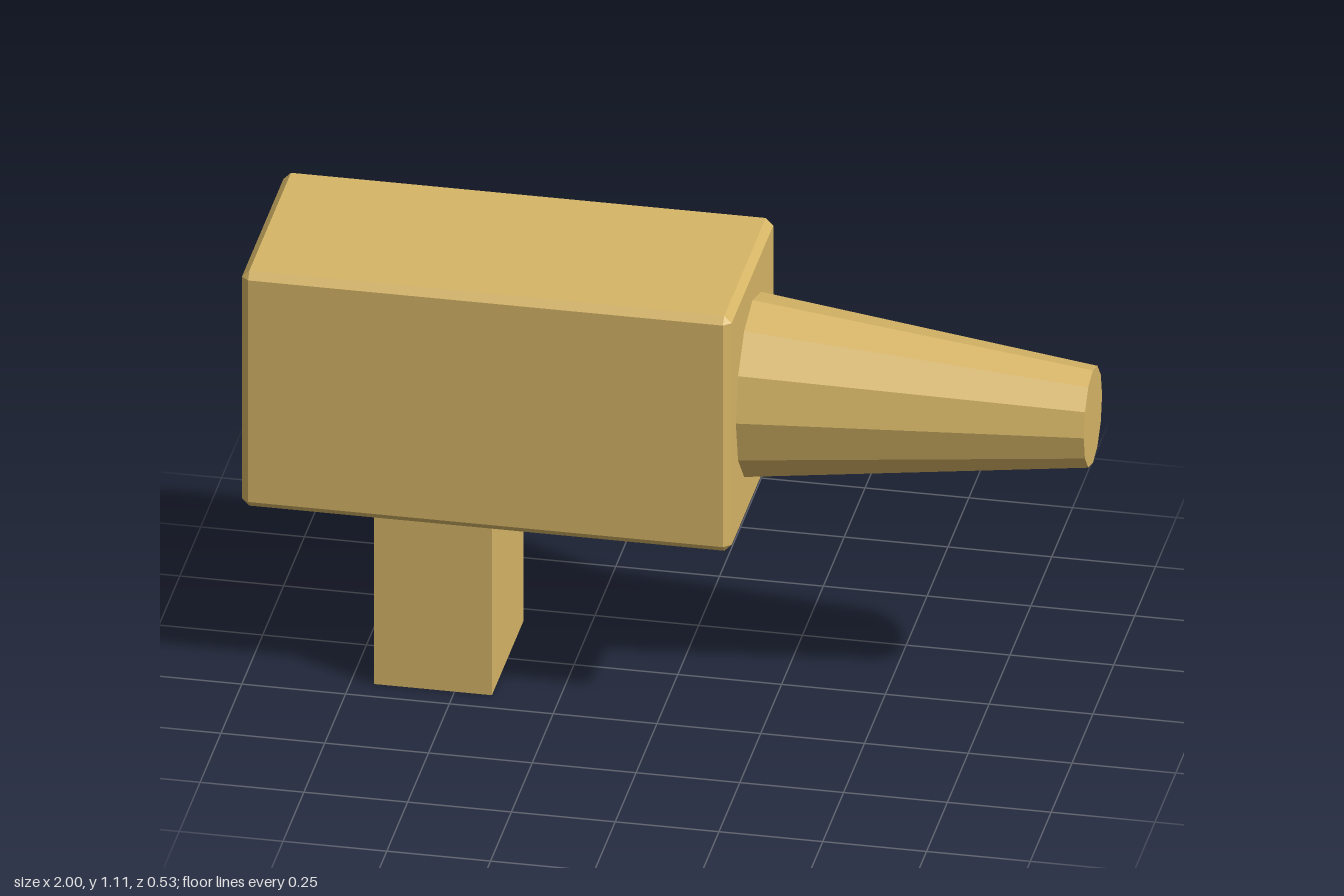
import * as THREE from 'three';
import { ConvexGeometry } from 'three/addons/geometries/ConvexGeometry.js';

// Box with chamfered edges and corners, given half sizes and bevels per axis
function chamferedBox(half, bevel) {
  const points = [];
  for (const sx of [-1, 1]) for (const sy of [-1, 1]) for (const sz of [-1, 1]) {
    const sign = new THREE.Vector3(sx, sy, sz);
    const inner = half.clone().sub(bevel);
    for (const axis of ['x', 'y', 'z']) {
      const p = inner.clone();
      p[axis] = half[axis];
      points.push(p.multiply(sign));
    }
  }
  return new ConvexGeometry(points);
}

export function createModel() {
  const group = new THREE.Group();
  const sand = new THREE.MeshStandardMaterial({ color: 0xd6b566, flatShading: true });
  sand.name = 'sand';

  function add(name, geometry, x, y, z) {
    const mesh = new THREE.Mesh(geometry, sand);
    mesh.name = name;
    mesh.position.set(x, y, z);
    group.add(mesh);
    return mesh;
  }

  // Bevelled main block
  add('body', chamferedBox(
    new THREE.Vector3(0.59, 0.315, 0.265),
    new THREE.Vector3(0.018, 0.018, 0.016)
  ), -0.41, 0.795, 0);

  // Twelve-sided tapered barrel, slightly taller than wide
  const barrel = new THREE.CylinderGeometry(0.11, 0.2, 0.82, 12);
  barrel.rotateZ(-Math.PI / 2);
  barrel.scale(1, 1.13, 1);
  add('barrel', barrel, 0.59, 0.797, 0);

  // Square-edged grip under the body
  add('grip', new THREE.BoxGeometry(0.284, 0.49, 0.376), -0.552, 0.245, 0);

  return group;
}
